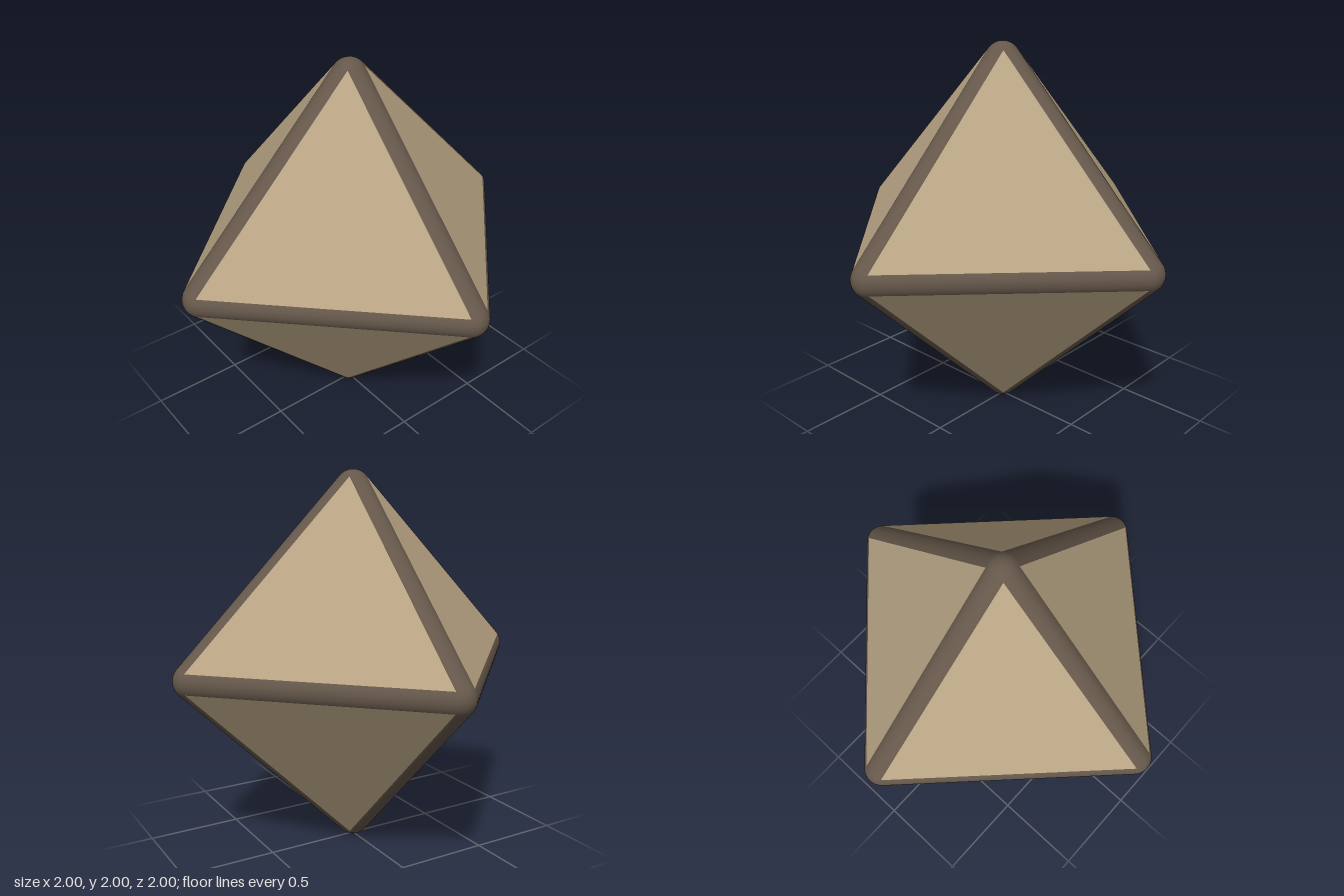
import * as THREE from 'three';
import { ParametricGeometry } from 'three/addons/geometries/ParametricGeometry.js';

const R = 0.09;      // edge rounding radius
const D = 1 - R;     // distance of the rounding centres from the middle

export function createModel() {
  const model = new THREE.Group();
  model.name = 'eightSidedDie';
  const faceMat = new THREE.MeshStandardMaterial({ color: 0xb8a484 });
  const edgeMat = new THREE.MeshStandardMaterial({ color: 0x65574a });

  const die = new THREE.Group();
  die.name = 'body';
  die.position.y = 1;
  model.add(die);

  const add = (name, geometry, material) => {
    const mesh = new THREE.Mesh(geometry, material);
    mesh.name = name;
    die.add(mesh);
  };
  const axis = (i, sign) => new THREE.Vector3().setComponent(i % 3, sign);
  const signs = [1, -1];

  for (let i = 0; i < 3; i++) {
    for (const sa of signs) {
      const a = axis(i, sa);

      // Rounded corner: a square patch of a sphere
      const p = axis(i + 1, 1);
      const q = new THREE.Vector3().crossVectors(a, p);
      add('cornerCap', new ParametricGeometry((u, v, out) => {
        out.copy(a).addScaledVector(p, 2 * u - 1).addScaledVector(q, 2 * v - 1)
          .normalize().multiplyScalar(R).addScaledVector(a, D);
      }, 12, 12), edgeMat);

      // Rounded edges: cylinder strips from this corner to the next axis
      for (const sb of signs) {
        const b = axis(i + 1, sb);
        const c = new THREE.Vector3().crossVectors(a, b);
        add('roundedEdge', new ParametricGeometry((u, v, out) => {
          out.copy(a).add(b).addScaledVector(c, 2 * v - 1).normalize().multiplyScalar(R)
            .addScaledVector(a, D * (1 - u)).addScaledVector(b, D * u);
        }, 1, 12), edgeMat);
      }
    }
  }

  // Flat triangular faces, one per octant
  for (const sx of signs) for (const sy of signs) for (const sz of signs) {
    const normal = new THREE.Vector3(sx, sy, sz).normalize();
    const corners = [axis(0, sx), axis(1, sy), axis(2, sz)]
      .map((v) => v.multiplyScalar(D).addScaledVector(normal, R));
    if (sx * sy * sz < 0) corners.reverse();
    const geometry = new THREE.BufferGeometry().setFromPoints(corners);
    geometry.computeVertexNormals();
    add('face', geometry, faceMat);
  }

  return model;
}
